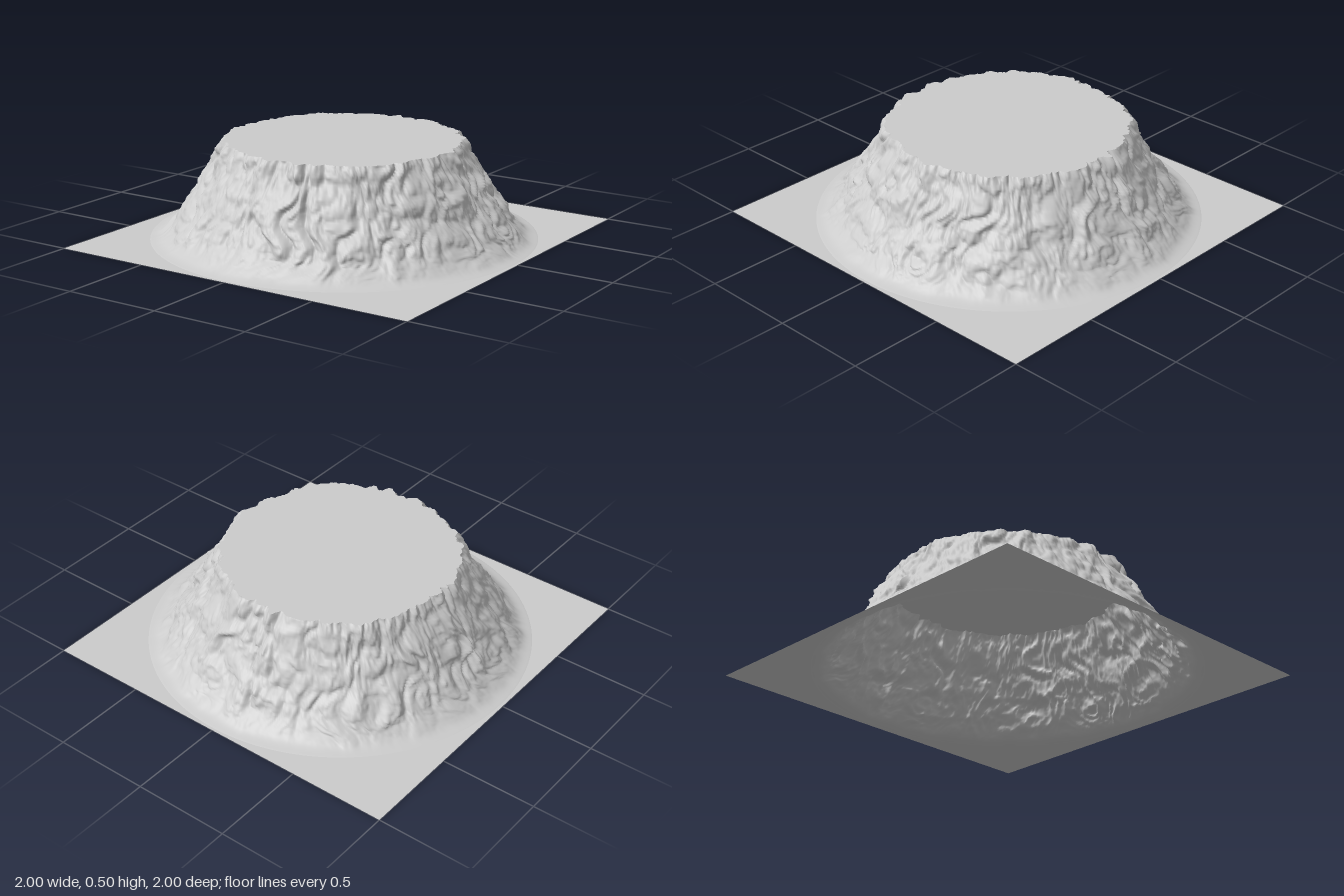
import * as THREE from 'three';

const SEGMENTS = 720; // multiple of 8, so the square's corners fall on a vertex
const ROWS = 70;
const BASE_RADIUS = 0.985;

// Smooth lattice noise in the range -1..1
function hash(x, y, z) {
  let n = Math.imul(x, 374761393) ^ Math.imul(y, 668265263) ^ Math.imul(z, 1274126177);
  n = Math.imul(n ^ (n >>> 13), 1103515245);
  return (((n ^ (n >>> 16)) >>> 0) / 4294967295) * 2 - 1;
}

function noise(x, y, z) {
  const xi = Math.floor(x), yi = Math.floor(y), zi = Math.floor(z);
  const fade = (t) => t * t * t * (t * (t * 6 - 15) + 10);
  const u = fade(x - xi), v = fade(y - yi), w = fade(z - zi);
  const mix = THREE.MathUtils.lerp;
  const edge = (j, k) => mix(hash(xi, yi + j, zi + k), hash(xi + 1, yi + j, zi + k), u);
  return mix(mix(edge(0, 0), edge(1, 0), v), mix(edge(0, 1), edge(1, 1), v), w);
}

// Warped gullies: creases where the noise crosses zero, running mostly downhill
function erosion(angle, h) {
  const x = Math.cos(angle), z = Math.sin(angle);
  const warpA = noise(x * 5 + 9, h * 8, z * 5) * 0.12;
  const warpB = noise(x * 5, h * 8 + 31, z * 5 + 4) * 0.12;
  let sum = 0, amp = 1, freq = 7;
  for (let octave = 0; octave < 4; octave++) {
    const n = noise((x + warpA) * freq + octave * 17, h * freq * 0.9, (z + warpB) * freq);
    sum += amp * (Math.abs(n) - 0.3);
    amp *= 0.52;
    freq *= 2;
  }
  return sum;
}

// Sheet of closed rings, listed from the outside in
function ringSheet(name, rowCount, pointAt) {
  const positions = [], indices = [];
  for (let i = 0; i <= rowCount; i++) {
    for (let j = 0; j < SEGMENTS; j++) {
      positions.push(...pointAt(i / rowCount, (j / SEGMENTS) * Math.PI * 2));
    }
  }
  for (let i = 0; i < rowCount; i++) {
    for (let j = 0; j < SEGMENTS; j++) {
      const k = (j + 1) % SEGMENTS;
      const a = i * SEGMENTS + j, b = i * SEGMENTS + k;
      const c = a + SEGMENTS, d = b + SEGMENTS;
      indices.push(a, b, c, b, d, c);
    }
  }
  const geometry = new THREE.BufferGeometry();
  geometry.setAttribute('position', new THREE.Float32BufferAttribute(positions, 3));
  geometry.setIndex(indices);
  geometry.computeVertexNormals();
  const material = new THREE.MeshStandardMaterial({ color: 0xcccccc, side: THREE.DoubleSide });
  const mesh = new THREE.Mesh(geometry, material);
  mesh.name = name;
  return mesh;
}

const polar = (radius, y, angle) => [radius * Math.cos(angle), y, -radius * Math.sin(angle)];

export function createModel() {
  const group = new THREE.Group();
  group.name = 'plateauMountain';

  // Flank profile as radius and height, from the foot to the rim
  const profile = new THREE.SplineCurve([
    [BASE_RADIUS, 0], [0.925, 0.02], [0.855, 0.085], [0.775, 0.19], [0.69, 0.335], [0.593, 0.5],
  ].map(([r, h]) => new THREE.Vector2(r, h)));

  const flankPoint = (t, angle) => {
    const p = profile.getPoint(t);
    const strength = 0.042 * THREE.MathUtils.smoothstep(t, 0, 0.55);
    return polar(p.x + strength * erosion(angle, p.y), p.y, angle);
  };

  // Flat ground between the square border and the foot
  group.add(ringSheet('ground', 1, (t, angle) => {
    const border = 1 / Math.max(Math.abs(Math.cos(angle)), Math.abs(Math.sin(angle)));
    return polar(THREE.MathUtils.lerp(border, BASE_RADIUS, t), 0, angle);
  }));

  // Eroded slopes
  group.add(ringSheet('slopes', ROWS, flankPoint));

  // Flat top that follows the ragged rim
  group.add(ringSheet('plateau', 1, (t, angle) => {
    const [x, y, z] = flankPoint(1, angle);
    return [x * (1 - t), y, z * (1 - t)];
  }));

  return group;
}
